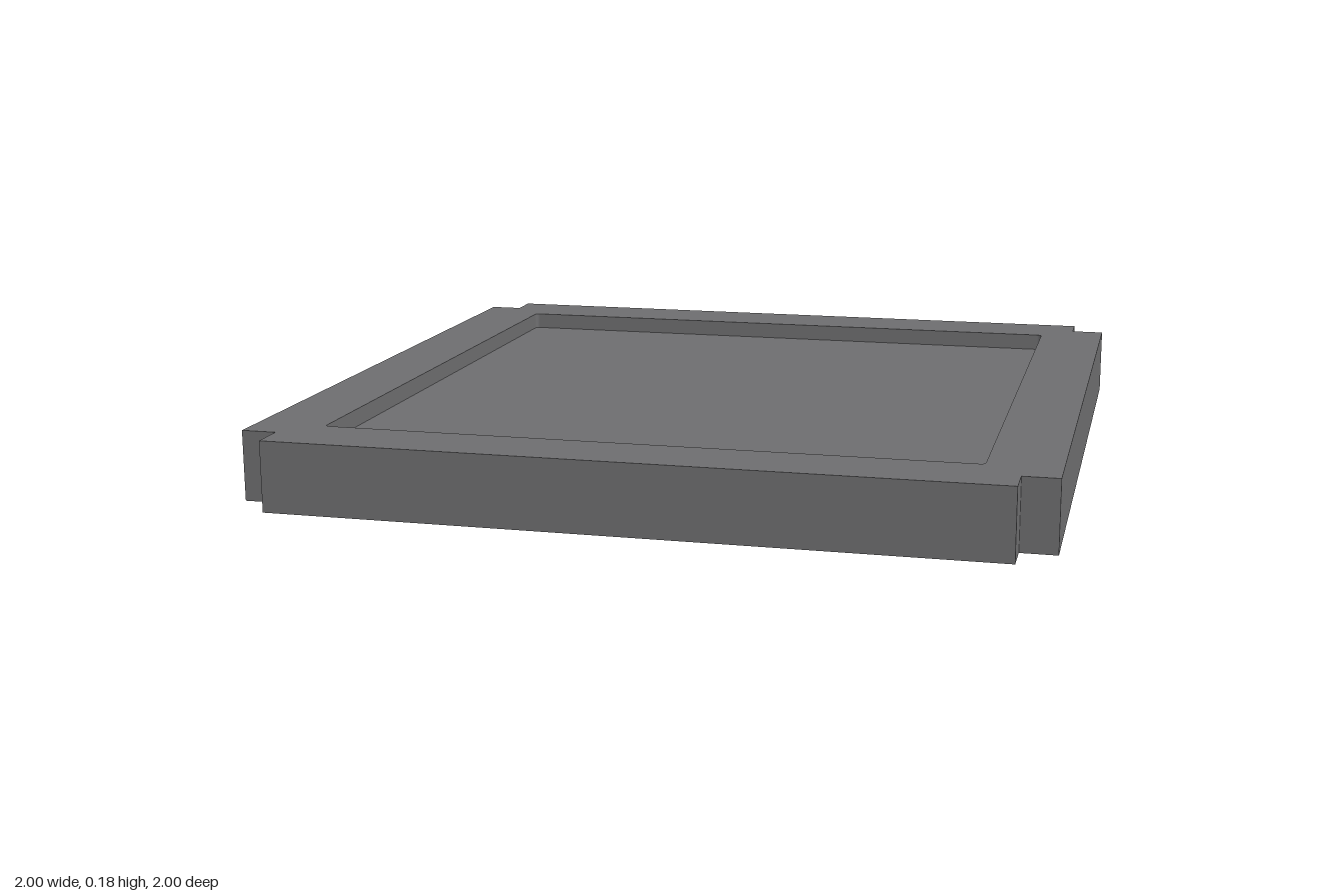
import * as THREE from 'three';

const HEIGHT = 0.18;
const OUTER = 1;      // half width of the whole tile
const NOTCH = 0.91;   // where the square corner cut-outs begin
const INNER = 0.82;   // half width of the recessed field
const CORE = 0.09;    // thickness of the central panel

// Square with tiny rounded corners, added to a shape or path
function roundedSquare(path, h, r) {
  const c = h - r;
  path.moveTo(-c, -h);
  [[c, -c, -0.5], [c, c, 0], [-c, c, 0.5], [-c, -c, 1]].forEach(([x, y, a]) =>
    path.absarc(x, y, r, a * Math.PI, (a + 0.5) * Math.PI, false));
  path.closePath();
  return path;
}

// Extrude a plan shape upward from height y
function slab(shape, y, depth) {
  const g = new THREE.ExtrudeGeometry(shape, { depth, bevelEnabled: false, curveSegments: 3 });
  g.rotateX(-Math.PI / 2);
  g.translate(0, y, 0);
  return g;
}

export function createModel() {
  const group = new THREE.Group();
  const grey = new THREE.MeshStandardMaterial({ color: 0x6e6e70 });
  grey.name = 'darkGrey';

  // Border frame with a square notch cut from each corner
  const outline = new THREE.Shape([
    [NOTCH, -OUTER], [NOTCH, -NOTCH], [OUTER, -NOTCH],
    [OUTER, NOTCH], [NOTCH, NOTCH], [NOTCH, OUTER],
    [-NOTCH, OUTER], [-NOTCH, NOTCH], [-OUTER, NOTCH],
    [-OUTER, -NOTCH], [-NOTCH, -NOTCH], [-NOTCH, -OUTER],
  ].map(([x, y]) => new THREE.Vector2(x, y)));
  outline.holes.push(roundedSquare(new THREE.Path(), INNER, 0.012));
  const frame = new THREE.Mesh(slab(outline, 0, HEIGHT), grey);
  frame.name = 'borderFrame';

  // Thin central panel, recessed on both the top and the underside
  const field = roundedSquare(new THREE.Shape(), INNER, 0.012);
  const panel = new THREE.Mesh(slab(field, (HEIGHT - CORE) / 2, CORE), grey);
  panel.name = 'recessedPanel';

  group.add(frame, panel);
  return group;
}
